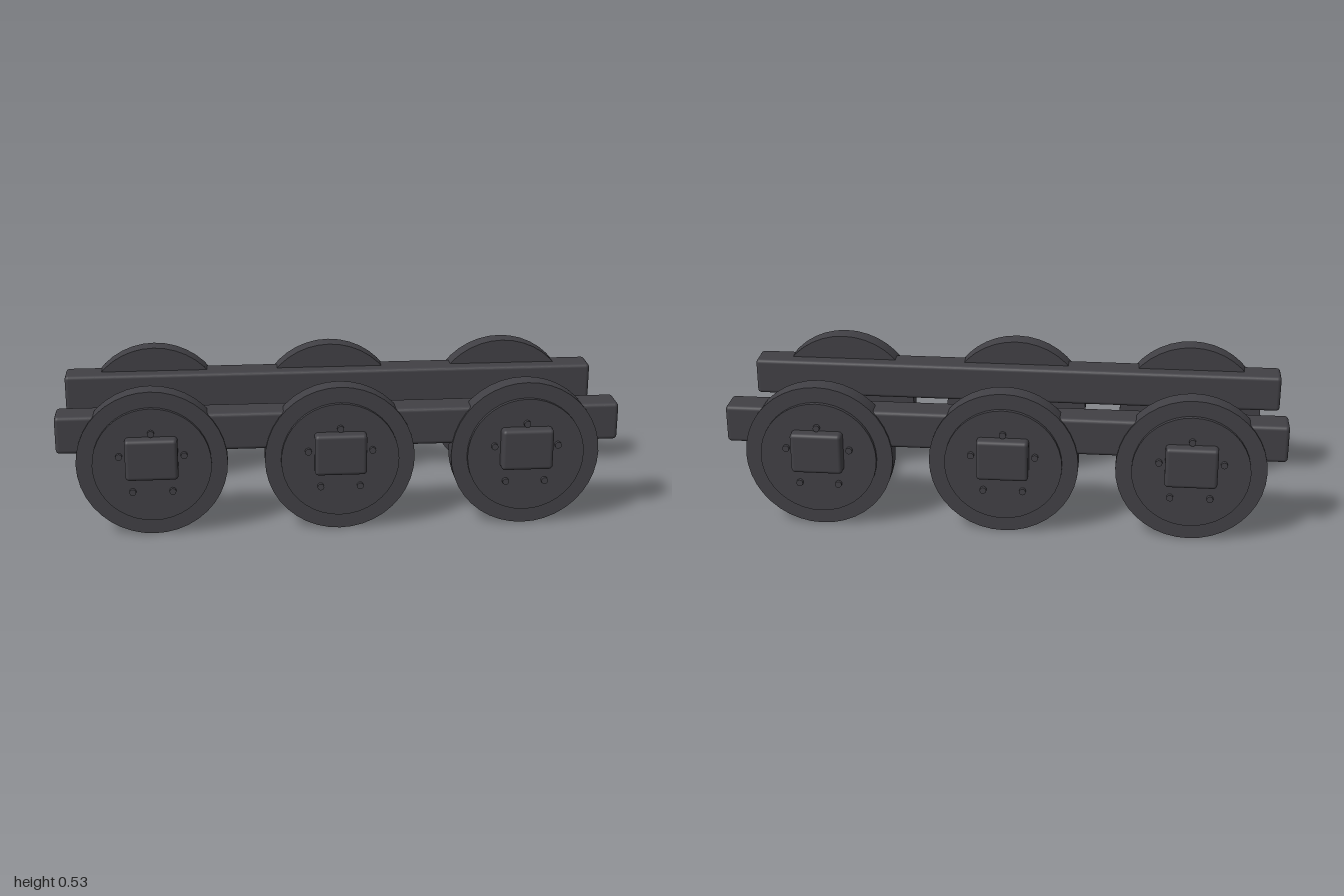
import * as THREE from 'three';
import { RoundedBoxGeometry } from 'three/addons/geometries/RoundedBoxGeometry.js';

export function createModel() {
  const model = new THREE.Group();
  model.name = 'wheelTruck';
  const iron = new THREE.MeshStandardMaterial({ color: 0x414045 });
  iron.name = 'dark iron';

  const R = 0.267; // wheel radius, also the height of the wheel centres

  function add(parent, name, geometry, x, y, z) {
    const mesh = new THREE.Mesh(geometry, iron);
    mesh.name = name;
    mesh.position.set(x, y, z);
    parent.add(mesh);
  }

  // Cylinder lying along z between z0 and z1
  const disc = (r, z0, z1, sides) =>
    new THREE.CylinderGeometry(r, r, z1 - z0, sides).rotateX(Math.PI / 2).translate(0, 0, (z0 + z1) / 2);

  const wheelGeo = disc(R, 0.222, 0.292, 40);
  const plateGeo = disc(0.21, 0.285, 0.307, 40);
  const boltGeo = disc(0.012, 0.3, 0.32, 12);
  const axleGeo = disc(0.05, -0.23, 0.23, 24);
  const boxGeo = new RoundedBoxGeometry(0.185, 0.151, 0.09, 3, 0.014);
  const beamGeo = new RoundedBoxGeometry(2, 0.137, 0.111, 3, 0.014);

  // Side beams
  for (const s of [1, -1]) add(model, 'sideBeam', beamGeo, 0, 0.3755, s * 0.2275);

  for (const x of [-0.665, 0, 0.665]) {
    add(model, 'axle', axleGeo, x, R, 0);

    // One wheel per side, the back one turned half round
    for (const turn of [0, Math.PI]) {
      const wheel = new THREE.Group();
      wheel.name = 'wheel';
      wheel.position.set(x, R, 0);
      wheel.rotation.y = turn;
      add(wheel, 'wheelRim', wheelGeo, 0, 0, 0);
      add(wheel, 'wheelPlate', plateGeo, 0, 0, 0);
      add(wheel, 'axleBox', boxGeo, 0, 0.031, 0.303);

      // Ring of five bolts, first one on top
      for (let i = 0; i < 5; i++) {
        const a = Math.PI / 2 + (i * Math.PI * 2) / 5;
        add(wheel, 'bolt', boltGeo, 0.12 * Math.cos(a), 0.12 * Math.sin(a), 0);
      }
      model.add(wheel);
    }
  }
  return model;
}
